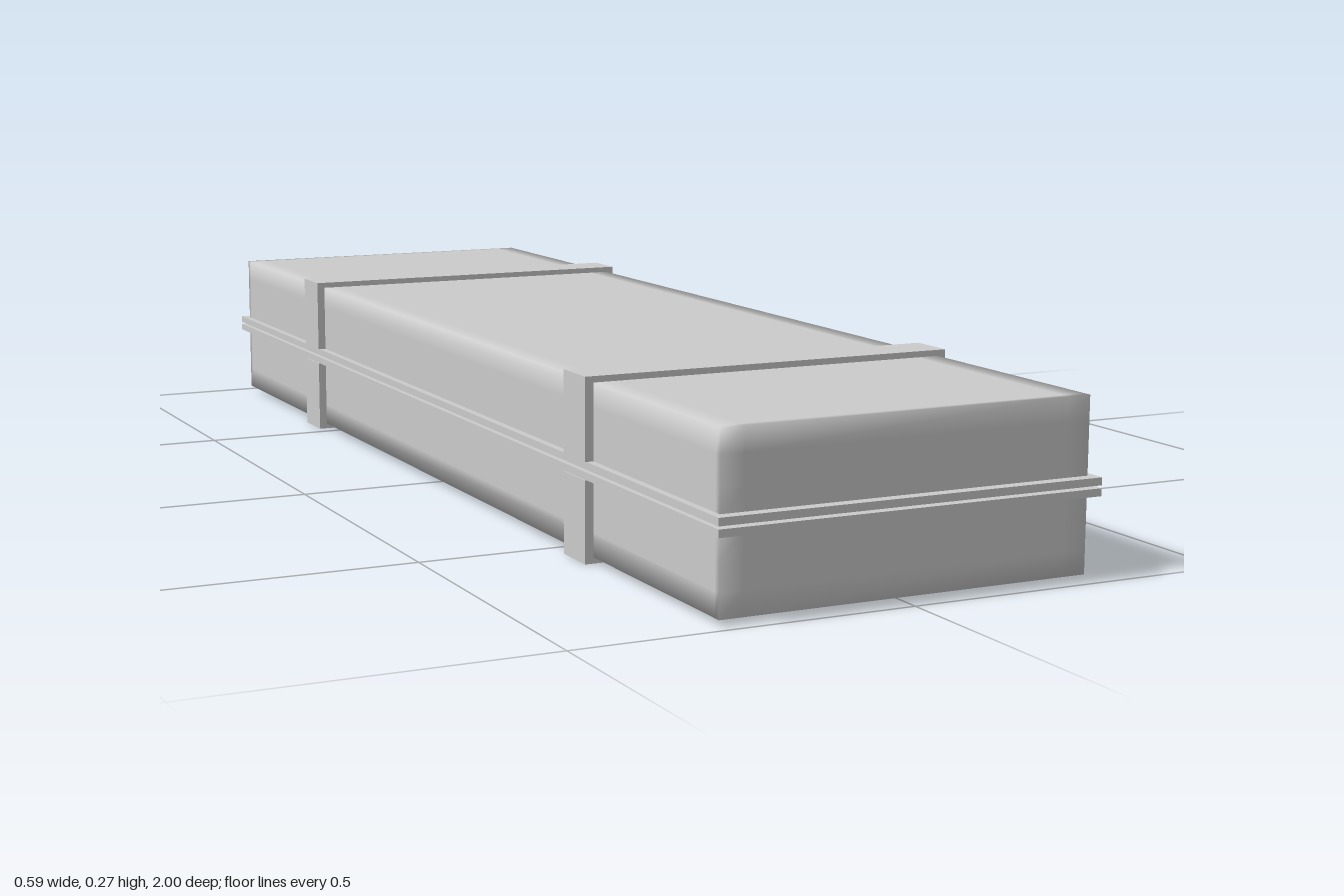
import * as THREE from 'three';
import { mergeVertices } from 'three/addons/utils/BufferGeometryUtils.js';

const material = new THREE.MeshStandardMaterial({ color: 0xcccccc });

function addBox(parent, name, w, h, d, y, z = 0) {
  const mesh = new THREE.Mesh(new THREE.BoxGeometry(w, h, d), material);
  mesh.name = name;
  mesh.position.set(0, y, z);
  parent.add(mesh);
}

// Sharp box outline with softly shaded outer edges: support loops sit close to each edge
function softShell(w, h, d) {
  let geo = new THREE.BoxGeometry(w, h, d, 3, 3, 3);
  geo.deleteAttribute('uv');
  geo.deleteAttribute('normal');
  const pos = geo.attributes.position;
  const inset = (v, size, edge) =>
    Math.abs(v) < size * 0.3 ? Math.sign(v) * (size / 2 - edge) : v;
  for (let i = 0; i < pos.count; i++) {
    pos.setXYZ(i,
      inset(pos.getX(i), w, 0.035),
      inset(pos.getY(i), h, 0.035),
      inset(pos.getZ(i), d, 0.012));
  }
  geo = mergeVertices(geo);
  geo.computeVertexNormals();
  // Keep the walls flat where they meet the rim
  const p = geo.attributes.position, n = geo.attributes.normal;
  const v = new THREE.Vector3();
  for (let i = 0; i < p.count; i++) {
    if (p.getY(i) < h / 2 - 0.001) continue;
    v.fromBufferAttribute(n, i).setY(0);
    if (v.lengthSq() > 0.01) n.setXYZ(i, ...v.normalize().toArray());
  }
  return geo;
}

// One half of the case, bottom at y = 0, opening upwards
function makeHalf(name) {
  const half = new THREE.Group();
  half.name = name;
  const shell = new THREE.Mesh(softShell(0.562, 0.111, 1.965), material);
  shell.name = 'shell';
  shell.position.y = 0.0645;
  half.add(shell);
  addBox(half, 'rim', 0.584, 0.011, 2, 0.1255);
  for (const z of [0.575, -0.563]) addBox(half, 'strap', 0.588, 0.12, 0.072, 0.06, z);
  return half;
}

export function createModel() {
  const model = new THREE.Group();
  model.name = 'case';
  model.add(makeHalf('lowerHalf'));

  // The lid is the same half turned over
  const lid = makeHalf('lid');
  lid.rotation.z = Math.PI;
  lid.position.y = 0.266;
  model.add(lid);

  // Recessed seal in the gap between the rims
  addBox(model, 'seal', 0.536, 0.012, 1.93, 0.133);
  return model;
}
